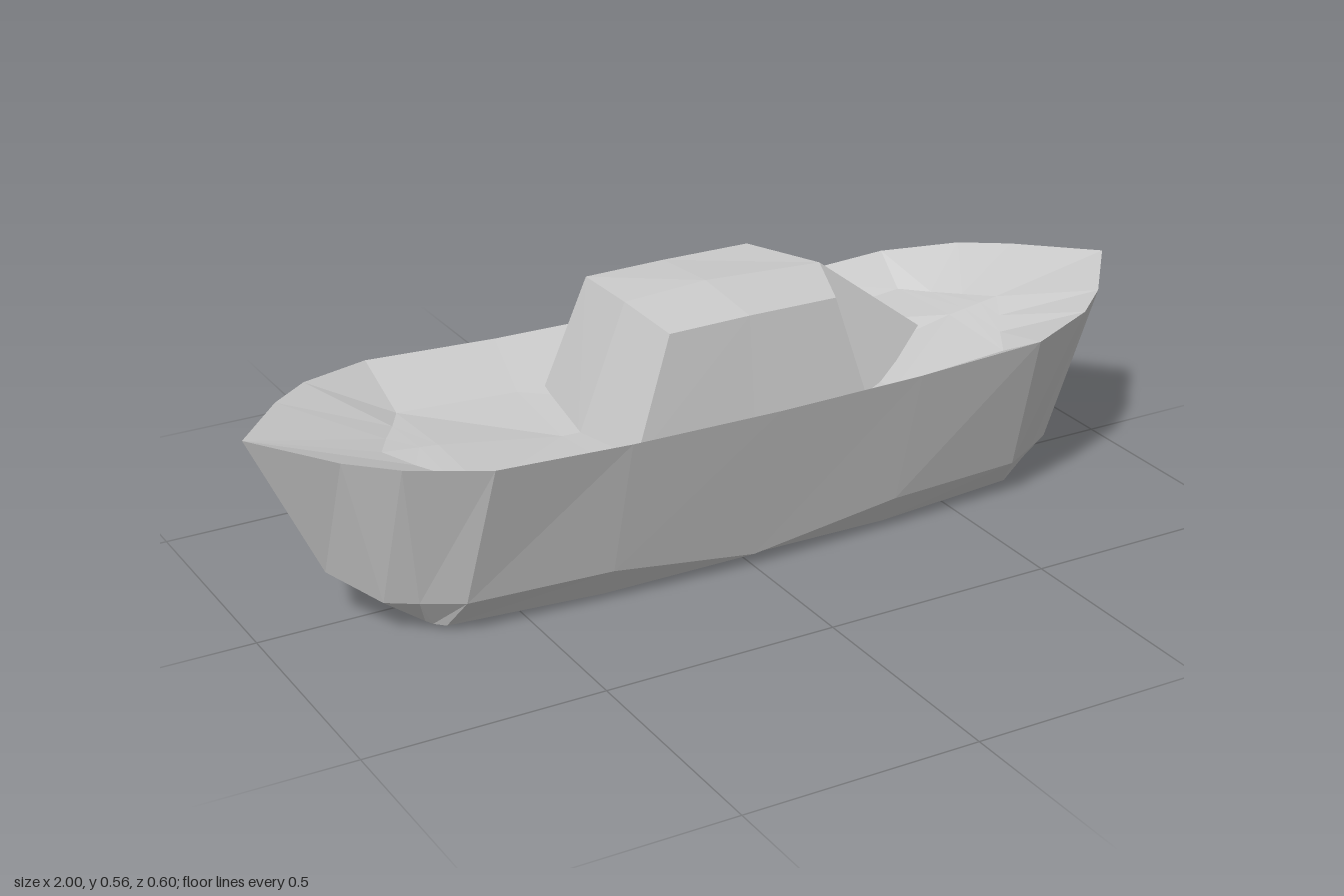
import * as THREE from 'three';

const material = new THREE.MeshStandardMaterial({ color: 0xcccccc, flatShading: true, side: THREE.DoubleSide });

// Skins a list of cross-sections (given for z >= 0) and mirrors it across z = 0.
function skin(name, sections) {
  const pos = [];
  const tri = (a, b, c) => {
    const [p, q, r] = [a, b, c].map(v => new THREE.Vector3(...v));
    if (q.sub(p).cross(r.sub(p)).length() < 1e-7) return; // collapsed corner
    pos.push(...a, ...b, ...c);
    for (const v of [a, c, b]) pos.push(v[0], v[1], -v[2]);
  };
  for (let i = 0; i < sections.length - 1; i++) {
    const s = sections[i], t = sections[i + 1];
    for (let j = 0; j < s.length - 1; j++) {
      tri(s[j], s[j + 1], t[j]);
      tri(t[j], s[j + 1], t[j + 1]);
    }
  }
  const geometry = new THREE.BufferGeometry();
  geometry.setAttribute('position', new THREE.Float32BufferAttribute(pos, 3));
  geometry.computeVertexNormals();
  const mesh = new THREE.Mesh(geometry, material);
  mesh.name = name;
  return mesh;
}

// Repeats the midship-to-bow sections towards the stern.
function bothEnds(half) {
  const stern = half.slice(1).reverse().map(s => s.map(([x, y, z]) => [-x, y, z]));
  return [...stern, ...half];
}

export function createModel() {
  const group = new THREE.Group();
  group.name = 'boat';

  // Gunwale, shared by hull and deck
  const rim = [
    [0, 0.385, 0.3], [0.33, 0.389, 0.3], [0.62, 0.402, 0.3],
    [0.78, 0.413, 0.235], [0.87, 0.418, 0.16], [1, 0.43, 0],
  ];

  // Hull: chine, bilge and keel below the gunwale
  const lower = [
    [[0, 0.028, 0.2], [0, 0.01, 0.165], [0, 0, 0]],
    [[0.33, 0.08, 0.215], [0.33, 0.01, 0.17], [0.33, 0, 0]],
    [[0.64, 0.08, 0.195], [0.66, 0.012, 0.14], [0.64, 0.01, 0]],
    [[0.72, 0.08, 0.15], [0.68, 0.012, 0.12], [0.67, 0.015, 0]],
    [[0.78, 0.082, 0.115], [0.69, 0.014, 0.105], [0.69, 0.02, 0]],
    [[0.85, 0.115, 0], [0.72, 0.035, 0], [0.72, 0.035, 0]],
  ];
  group.add(skin('hull', bothEnds(rim.map((p, i) => [p, ...lower[i]]))));

  // Sunken deck: centreline and inner crease, rising slightly to the bow
  const inner = [
    [[0, 0.28, 0], [0, 0.31, 0.2]],
    [[0.33, 0.295, 0], [0.33, 0.315, 0.2]],
    [[0.6, 0.345, 0], [0.6, 0.335, 0.2]],
    [[0.64, 0.35, 0], [0.64, 0.343, 0.13]],
    [[0.68, 0.355, 0], [0.68, 0.35, 0.07]],
    [[0.72, 0.36, 0], [0.72, 0.36, 0]],
  ];
  const deck = bothEnds(rim.map((p, i) => [...inner[i], p]));
  for (const s of deck) for (const p of s.slice(0, 2)) p[1] += 0.025 * p[0];
  group.add(skin('deck', deck));

  // Cabin: roof ridge, roof edge and foot, with a pointed windscreen
  group.add(skin('cabin', [
    [[-0.185, 0.547, 0], [-0.185, 0.547, 0], [-0.295, 0.27, 0]],
    [[-0.185, 0.547, 0], [-0.18, 0.54, 0.175], [-0.27, 0.3, 0.2]],
    [[0, 0.557, 0], [0, 0.542, 0.175], [0, 0.295, 0.2]],
    [[0.27, 0.543, 0], [0.2, 0.54, 0.175], [0.27, 0.3, 0.2]],
    [[0.27, 0.543, 0], [0.27, 0.543, 0], [0.52, 0.352, 0]],
  ]));
  return group;
}
